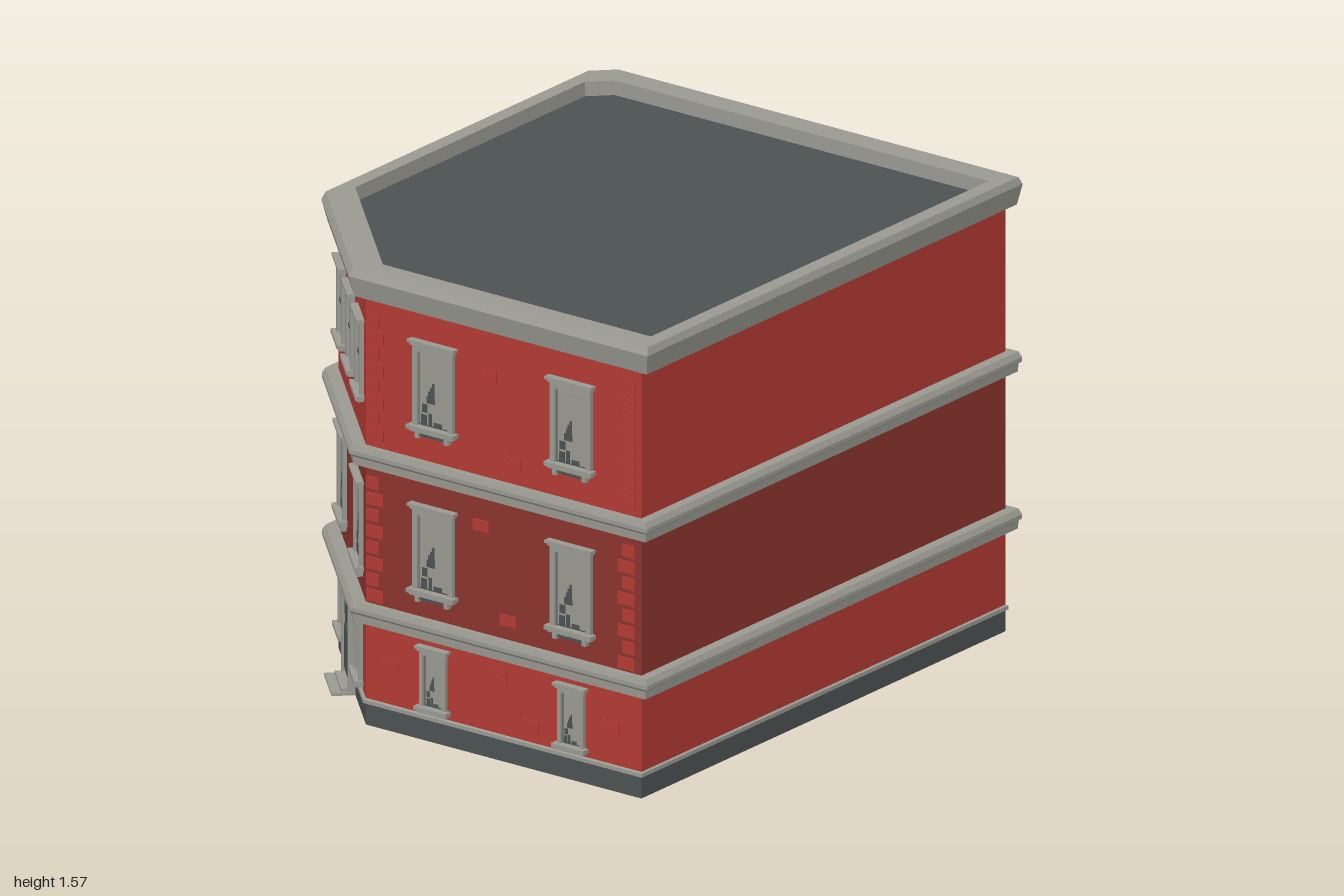
import * as THREE from 'three';

const mat = (name, color, side = THREE.FrontSide) => {
  const m = new THREE.MeshStandardMaterial({ color, side });
  m.name = name;
  return m;
};

// Building outline grown by ox / oz, counter-clockwise from the front-left corner
const outline = (ox, oz) => [
  [-0.30 - ox, 0.968 + oz], [0.82 + ox, 0.968 + oz], [0.82 + ox, -0.968 - oz],
  [-0.73 - ox, -0.968 - oz], [-0.80 - ox, -0.90 - oz], [-0.80 - ox, 0.46 + oz],
];

// Flat-faced band swept round the outline; profile rows are [ox, oz, y]
function band(profile) {
  const pos = [];
  for (let k = 0; k < profile.length - 1; k++) {
    const [lo, hi] = [profile[k], profile[k + 1]];
    const A = outline(lo[0], lo[1]), B = outline(hi[0], hi[1]);
    for (let i = 0; i < A.length; i++) {
      const j = (i + 1) % A.length;
      const a = [A[i][0], lo[2], A[i][1]], b = [A[j][0], lo[2], A[j][1]];
      const c = [B[j][0], hi[2], B[j][1]], d = [B[i][0], hi[2], B[i][1]];
      pos.push(...a, ...b, ...c, ...a, ...c, ...d);
    }
  }
  const g = new THREE.BufferGeometry();
  g.setAttribute('position', new THREE.Float32BufferAttribute(pos, 3));
  g.computeVertexNormals();
  return g;
}

function slab(ox, oz, y) {
  const s = new THREE.Shape(outline(ox, oz).map(([x, z]) => new THREE.Vector2(x, -z)));
  return new THREE.ShapeGeometry(s).rotateX(-Math.PI / 2).translate(0, y, 0);
}

export function createModel() {
  const model = new THREE.Group();
  model.name = 'cornerBuilding';
  const red = mat('brightBrick', 0xb23a34, THREE.DoubleSide);
  const darkRed = mat('darkBrick', 0x8a342d, THREE.DoubleSide);
  const stone = mat('stone', 0x9a9a92, THREE.DoubleSide);
  const slate = mat('slate', 0x4c5153, THREE.DoubleSide);
  const glass = mat('windowGlass', 0x989890);

  const add = (name, geo, m, parent = model) => {
    const mesh = new THREE.Mesh(geo, m);
    mesh.name = name;
    parent.add(mesh);
    return mesh;
  };
  // Box standing on the wall: centred on x, bottom at y, back at z
  const box = (parent, name, m, w, h, d, x, y, z = 0) =>
    add(name, new THREE.BoxGeometry(w, h, d), m, parent).position.set(x, y + h / 2, z + d / 2);

  // Storeys
  const wall = (y0, y1) => band([[0, 0, y0], [0, 0, y1]]);
  add('plinth', wall(0, 0.075), slate);
  add('plinthTrim', band([[0, 0, 0.075], [0.007, 0.007, 0.075], [0.007, 0.007, 0.088], [0, 0, 0.092]]), stone);
  add('groundWall', wall(0.075, 0.36), red);
  add('middleWall', wall(0.4, 0.92), darkRed);
  add('upperWall', wall(0.94, 1.5), red);
  add('groundCeiling', slab(0, 0, 0.362), stone);
  add('roof', slab(-0.01, -0.06, 1.52), slate);

  // Belts and cornice
  for (const y of [0.355, 0.897]) {
    add('beltCourse', band([[0, 0, y], [0.033, 0.022, y], [0.035, 0.024, y + 0.028],
      [0.045, 0.03, y + 0.036], [0.045, 0.03, y + 0.05], [0.034, 0.024, y + 0.069], [0, 0, y + 0.069]]), stone);
  }
  add('cornice', band([[0, 0, 1.475], [0.034, 0.016, 1.475], [0.047, 0.03, 1.545],
    [0.038, 0.018, 1.57], [-0.015, -0.07, 1.57], [-0.015, -0.07, 1.515]]), stone);

  // Wall frames: local x runs along the wall, local z points outwards
  const face = (name, x, z, turn) => {
    const g = new THREE.Group();
    g.name = name;
    g.position.set(x, 0, z);
    g.rotation.y = turn;
    model.add(g);
    return g;
  };
  const front = face('frontFacade', 0, 0.968, 0);
  const corner = face('cornerFacade', -0.55, 0.714, -Math.atan2(0.508, 0.5));
  const left = face('leftFacade', -0.8, 0, -Math.PI / 2);

  // Dark interior shapes seen in a pane, as fractions [x, y, w, h]
  const clutter = [[0.06, 0, 0.2, 0.14], [0.08, 0.17, 0.2, 0.12], [0.31, 0, 0.13, 0.17],
    [0.24, 0.31, 0.3, 0.1], [0.3, 0.41, 0.22, 0.07], [0.37, 0.48, 0.15, 0.06], [0.44, 0.54, 0.08, 0.06], [0.5, 0, 0.28, 0.06]];

  // Window with stone casing; y0..y1 from sill to hood
  function window_(wallFace, x, y0, y1, w, { sash = false, bars = 0, stuff = true, bracket = true } = {}) {
    const g = new THREE.Group();
    g.name = 'window';
    g.position.x = x;
    wallFace.add(g);
    const j = Math.min(0.02, w * 0.13), b = y0 + 0.022, h = y1 - 0.018 - b;
    box(g, 'paneBorder', slate, w - j, h, 0.003, 0, b);
    const gw = w - 2 * j - 0.01, gh = h - j - 0.01, gy = b + 0.005;
    box(g, 'pane', glass, gw, gh, 0.003, 0, gy, 0.002);
    for (const s of [-1, 1]) box(g, 'jamb', stone, j, h, 0.014, s * (w - j) / 2, b);
    box(g, 'lintel', stone, w, j, 0.014, 0, b + h - j);
    box(g, 'hood', stone, w + 0.024, 0.01, 0.027, 0, y1 - 0.01);
    box(g, 'hoodMoulding', stone, w + 0.012, 0.009, 0.02, 0, y1 - 0.019);
    box(g, 'sill', stone, w + 0.026, 0.014, 0.03, 0, y0 + 0.008);
    box(g, 'sillMoulding', stone, w + 0.01, 0.008, 0.022, 0, y0);
    if (bracket) {
      box(g, 'apron', slate, w * 0.75, 0.014, 0.014, 0, y0 - 0.014);
      for (const s of [-1, 1]) box(g, 'bracket', stone, 0.016, 0.02, 0.02, s * w * 0.36, y0 - 0.02);
    }
    if (stuff) for (const [cx, cy, cw, ch] of clutter)
      box(g, 'interiorShape', slate, cw * gw, ch * gh, 0.001, (cx + cw / 2 - 0.5) * gw, gy + cy * gh, 0.005);
    if (sash) {
      box(g, 'meetingRail', slate, gw, 0.007, 0.003, 0, gy + gh * 0.5, 0.005);
      box(g, 'mullion', stone, 0.01, gh * 0.5, 0.004, 0, gy, 0.005);
      for (const s of [-1, 1]) box(g, 'sashEdge', slate, 0.004, gh * 0.5, 0.003, s * 0.008, gy, 0.005);
    }
    for (let i = 1; i <= bars; i++)
      box(g, 'glazingBar', stone, 0.008, gh, 0.006, (i / (bars + 1) - 0.5) * gw, gy, 0.005);
    if (bars) box(g, 'transom', stone, gw, 0.008, 0.006, 0, gy + gh * 0.7, 0.005);
  }

  // Panelled door with casing and two steps
  function door(wallFace, x) {
    const g = new THREE.Group();
    g.name = 'door';
    g.position.x = x;
    wallFace.add(g);
    box(g, 'doorLeaf', slate, 0.15, 0.31, 0.012, 0, 0.01);
    for (const s of [-1, 1]) box(g, 'doorJamb', stone, 0.016, 0.31, 0.024, s * 0.083, 0.01);
    box(g, 'doorHead', stone, 0.19, 0.012, 0.03, 0, 0.315);
    box(g, 'transomPanel', slate, 0.1, 0.06, 0.006, 0, 0.235, 0.012);
    for (const s of [-1, 1]) box(g, 'doorPanel', slate, 0.045, 0.15, 0.006, s * 0.032, 0.045, 0.012);
    box(g, 'doorHandle', stone, 0.008, 0.016, 0.008, 0.06, 0.14, 0.012);
    box(g, 'lowerStep', stone, 0.19, 0.01, 0.078, 0, 0);
    box(g, 'upperStep', stone, 0.17, 0.01, 0.045, 0, 0.01);
  }

  // Front windows
  for (const x of [-0.02, 0.54]) {
    window_(front, x, 0.1, 0.33, 0.105, { bracket: false });
    window_(front, x, 0.5, 0.815, 0.165);
    window_(front, x, 1.065, 1.38, 0.165);
  }

  // Corner openings
  for (const x of [-0.235, 0, 0.235]) window_(corner, x, 1.095, 1.38, 0.14, { sash: true, stuff: false, bracket: false });
  for (const x of [-0.21, 0.21]) {
    window_(corner, x, 0.5, 0.815, 0.16);
    window_(corner, x, 0.1, 0.33, 0.13, { bars: 1, bracket: false });
  }
  door(corner, -0.01);

  // Left side openings
  for (const z of [-0.72, -0.17, 0.3]) {
    window_(left, z, 0.5, 0.815, 0.165);
    window_(left, z, 1.065, 1.38, 0.165);
  }
  window_(left, -0.5, 0.11, 0.33, 0.3, { bracket: false });
  for (const z of [0.16, 0.26, 0.36]) window_(left, z, 0.1, 0.33, 0.09, { stuff: false, bracket: false });
  door(left, -0.1);

  // Corner quoins, short and long in turn
  const quoins = (wallFace, edge, dir, y0) => {
    for (let i = 0; i < 8; i++) {
      const w = i % 2 ? 0.05 : 0.068;
      box(wallFace, 'quoin', red, w, 0.042, 0.005, edge + dir * (w / 2 + 0.005), y0 + i * 0.0555);
    }
  };
  for (const y of [0.432, 0.99]) {
    quoins(front, -0.3, 1, y);
    quoins(front, 0.8, -1, y);
    quoins(left, -0.89, 1, y);
    quoins(left, 0.45, -1, y);
  }

  // Scattered raised bricks
  const bricks = (wallFace, list) => list.forEach(([x, y]) => box(wallFace, 'brick', red, 0.066, 0.038, 0.005, x, y));
  bricks(front, [[0.17, 0.775], [0.28, 0.47], [0.2, 1.3], [0.3, 1.02], [-0.2, 0.2], [0.24, 0.27], [0.37, 0.13], [0.7, 0.2]]);
  bricks(left, [[-0.5, 0.6], [0.05, 0.72], [-0.45, 1.15], [0.06, 1.3], [-0.78, 0.25], [0.05, 0.25]]);

  return model;
}
